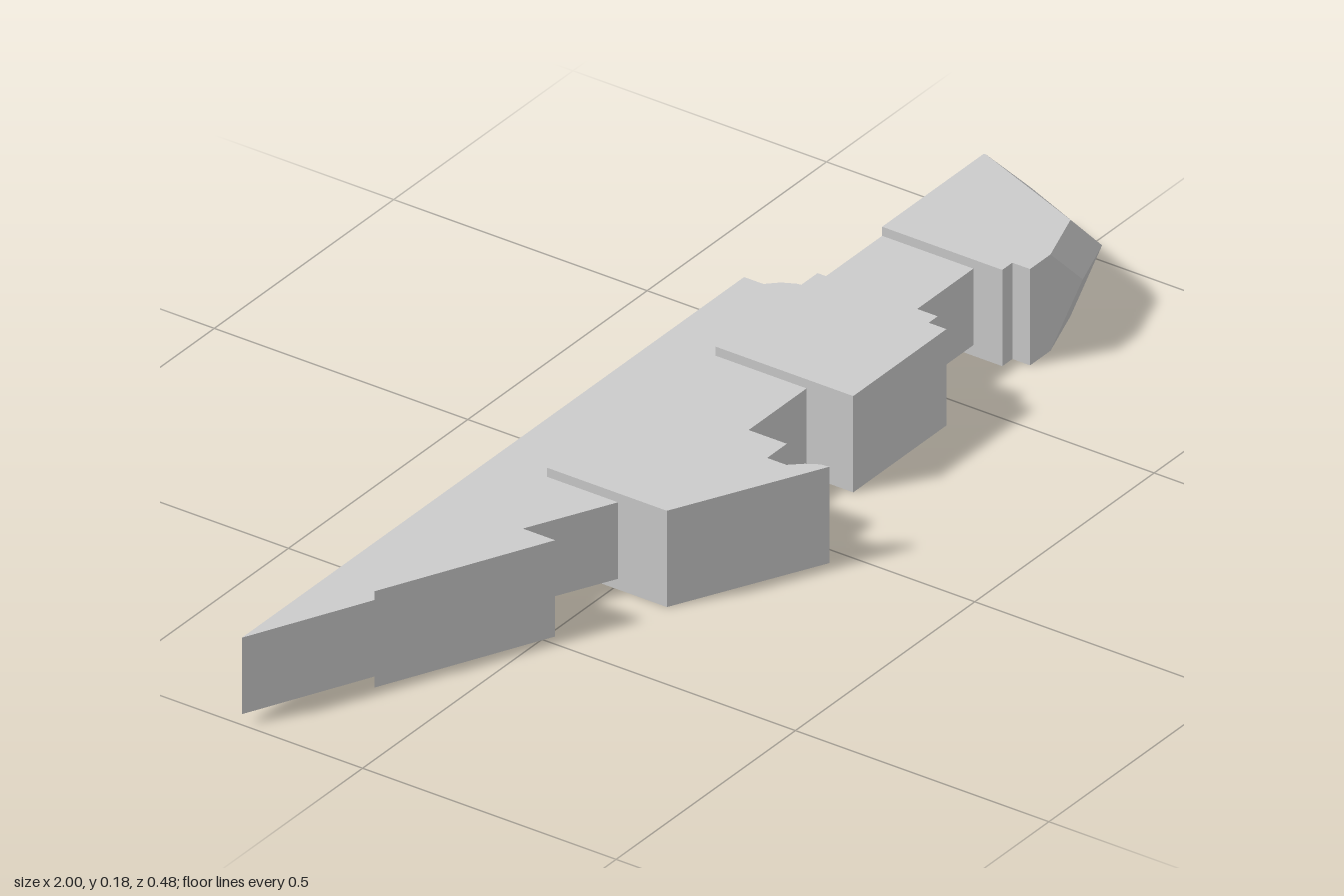
import * as THREE from 'three';

const material = new THREE.MeshStandardMaterial({ color: 0xcccccc, flatShading: true });

// Extrudes a plan outline of [x, z] points upward from y0 to y1.
function slab(outline, y0, y1, steps = 1) {
  const shape = new THREE.Shape(outline.map(([x, z]) => new THREE.Vector2(x, -z)));
  const geometry = new THREE.ExtrudeGeometry(shape, { depth: y1 - y0, steps, bevelEnabled: false });
  return geometry.rotateX(-Math.PI / 2).translate(0, y0, 0);
}

// Bevelled end: the points of the middle layer are pushed out to a ridge.
function pommelGeometry() {
  const outline = [
    [0.635, -0.132], [0.635, 0.105], [0.663, 0.105], [0.663, 0.14],
    [0.72, 0.14], [0.828, 0.103], [0.919, -0.129], [0.918, -0.132],
  ];
  const ridge = { 4: [0.81, 0.14], 5: [0.916, 0.103], 6: [1, -0.098] };
  const geometry = slab(outline, 0, 0.18, 2);
  const p = geometry.attributes.position;
  for (let i = 0; i < p.count; i++) {
    if (Math.abs(p.getY(i) - 0.09) > 0.01) continue;
    const k = outline.findIndex(([x, z]) => Math.hypot(p.getX(i) - x, p.getZ(i) - z) < 1e-4);
    if (ridge[k]) p.setXYZ(i, ridge[k][0], 0.09, ridge[k][1]);
  }
  geometry.computeVertexNormals();
  return geometry;
}

export function createModel() {
  const group = new THREE.Group();
  const add = (name, geometry) => {
    const mesh = new THREE.Mesh(geometry, material);
    mesh.name = name;
    group.add(mesh);
  };

  // Thin core: pointed blade with a stepped shoulder, running into the handle
  add('bladeCore', slab([
    [-1, -0.238], [0.4, -0.238], [0.4, -0.2], [0.42, -0.18], [0.432, -0.156], [0.435, -0.132],
    [0.66, -0.132], [0.66, 0.048], [-0.22, 0.048], [-0.48, -0.08], [-0.6, -0.08], [-0.78, -0.133],
  ], 0.02, 0.163));

  // Thicker plates, from the tip towards the handle
  add('tipBarb', slab([[-0.78, -0.132], [-0.48, -0.132], [-0.48, 0.012]], 0, 0.18));
  add('hookedBarb', slab([
    [-0.3, -0.132], [-0.015, -0.132], [-0.015, 0.14], [-0.07, 0.14], [-0.07, 0.178],
    [-0.05, 0.2], [-0.037, 0.222], [-0.035, 0.238], [-0.3, 0.105],
  ], 0, 0.18));
  add('gripBlock', slab([
    [0.17, -0.132], [0.455, -0.132], [0.455, 0.105], [0.43, 0.105], [0.43, 0.14], [0.17, 0.14],
  ], 0, 0.18));

  // Faceted end of the handle
  add('pommel', pommelGeometry());
  return group;
}
